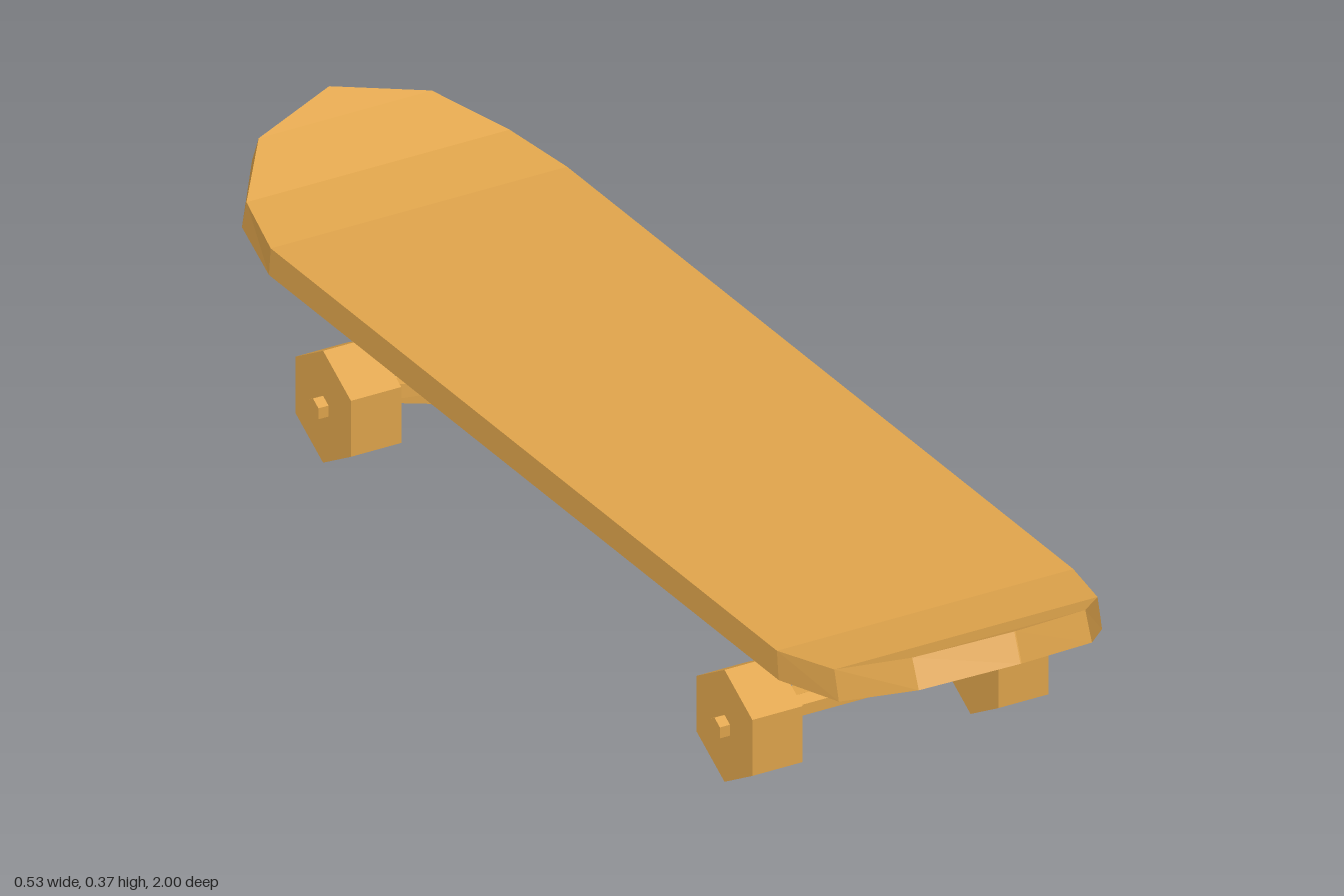
import * as THREE from 'three';

const material = new THREE.MeshStandardMaterial({ color: 0xe0a54c, flatShading: true });

function part(name, geometry) {
  const mesh = new THREE.Mesh(geometry, material);
  mesh.name = name;
  return mesh;
}

// Skin a row of four-cornered rings and close both ends
function loft(rings) {
  const index = [];
  for (let i = 0; i < rings.length - 1; i++) {
    for (let j = 0; j < 4; j++) {
      const a = i * 4 + j, b = i * 4 + (j + 1) % 4;
      index.push(a, b, b + 4, a, b + 4, a + 4);
    }
  }
  const e = (rings.length - 1) * 4;
  index.push(0, 2, 1, 0, 3, 2, e, e + 1, e + 2, e, e + 2, e + 3);
  const geometry = new THREE.BufferGeometry();
  geometry.setAttribute('position', new THREE.Float32BufferAttribute(rings.flat(2), 3));
  geometry.setIndex(index);
  const flat = geometry.toNonIndexed();
  flat.computeVertexNormals();
  return flat;
}

// Six-sided cylinder lying along x, with an edge at the top
function hexBar(radius, length) {
  return new THREE.CylinderGeometry(radius, radius, length, 6).rotateY(Math.PI / 6).rotateZ(Math.PI / 2);
}

// Deck: flat middle, both ends narrowing and kicking up
function createDeck() {
  // half width, bottom z, bottom y, top z, top y
  const end = [
    [0.25, 0.73, 0.238, 0.725, 0.284],
    [0.222, 0.855, 0.252, 0.842, 0.299],
    [0.146, 0.955, 0.296, 0.936, 0.341],
    [0.001, 1.0, 0.321, 0.982, 0.366],
  ];
  const ring = ([w, zb, yb, zt, yt], s) =>
    [[-w, yb, s * zb], [w, yb, s * zb], [w, yt, s * zt], [-w, yt, s * zt]];
  const rings = [
    ...end.slice().reverse().map((p) => ring(p, -1)),
    ...end.map((p) => ring(p, 1)),
  ];
  return part('deck', loft(rings));
}

// Truck: tapered mount, hanger, axle and two wheels
function createTruck(name) {
  const truck = new THREE.Group();
  truck.name = name;
  const axleY = 0.092, axleZ = 0.575;

  const layer = (y, wOut, zOut, wIn, zIn) =>
    [[-wOut, y, zOut], [wOut, y, zOut], [wIn, y, zIn], [-wIn, y, zIn]];
  truck.add(part('truckMount', loft([
    layer(0.09, 0.037, 0.55, 0.035, 0.49),
    layer(0.24, 0.065, 0.63, 0.065, 0.44),
  ])));
  truck.add(part('hanger', loft([
    layer(0.076, 0.165, axleZ, 0.035, 0.49),
    layer(0.108, 0.165, axleZ, 0.035, 0.488),
  ])));

  const axle = part('axle', hexBar(0.018, 0.534));
  axle.position.set(0, axleY, axleZ);
  truck.add(axle);

  for (const side of [1, -1]) {
    const wheel = part(side > 0 ? 'leftWheel' : 'rightWheel', hexBar(0.092, 0.085));
    wheel.position.set(side * 0.2075, axleY, axleZ);
    truck.add(wheel);
  }
  return truck;
}

export function createModel() {
  const model = new THREE.Group();
  model.name = 'skateboard';
  const backTruck = createTruck('backTruck');
  backTruck.rotation.y = Math.PI;
  model.add(createDeck(), createTruck('frontTruck'), backTruck);
  return model;
}
